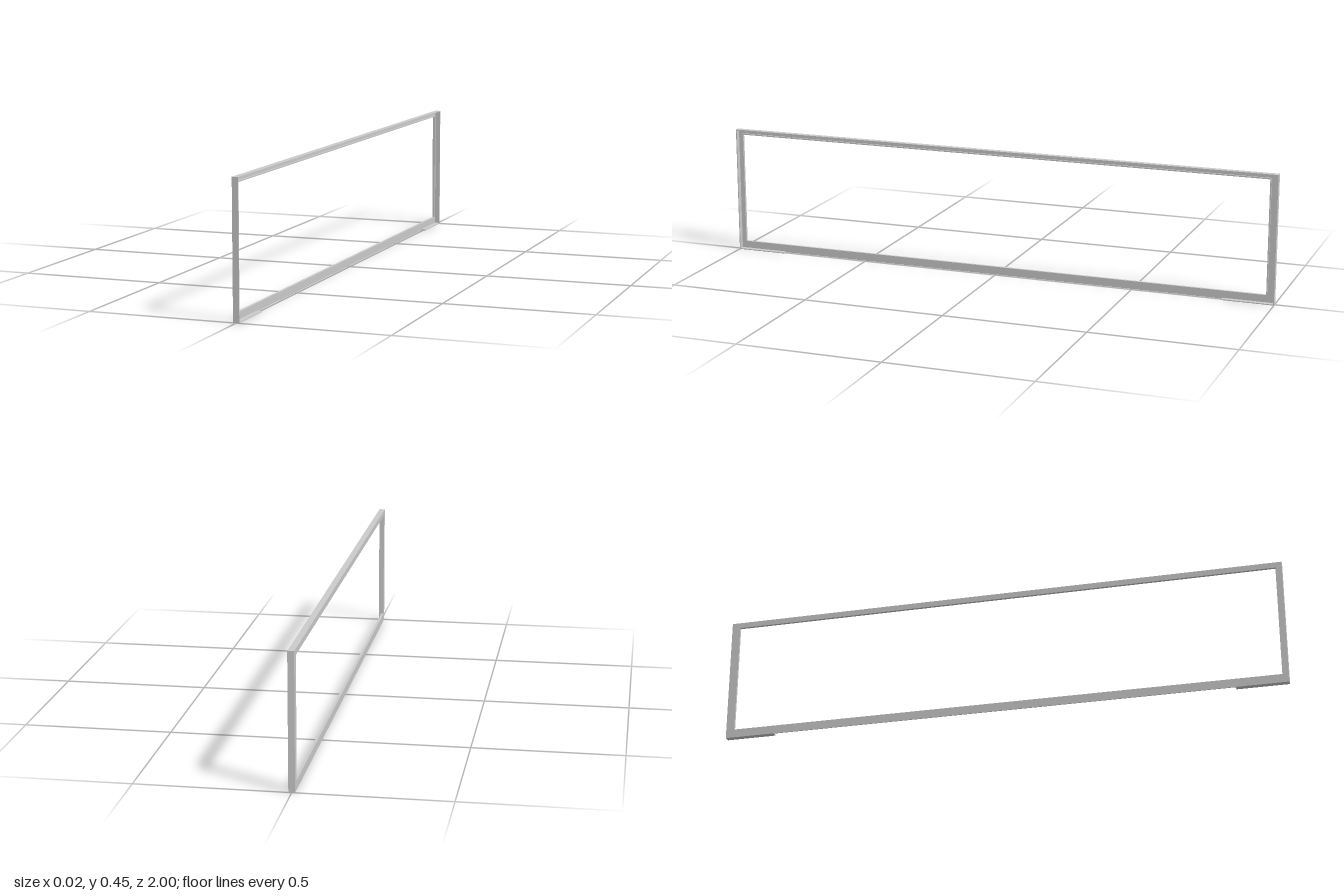
import * as THREE from 'three';

const H = 0.45, X0 = -0.0105, X1 = 0.0105, T = 0.003;
// opening in the face plate
const OPEN = { z0: -0.97, z1: 0.978, y0: 0.03, y1: 0.43 };

export function createModel() {
  const group = new THREE.Group();
  const material = new THREE.MeshStandardMaterial({ color: 0xcccccc, side: THREE.DoubleSide });

  // box given by its limits on each axis
  const slab = (name, [xa, xb], [ya, yb], [za, zb]) => {
    const mesh = new THREE.Mesh(new THREE.BoxGeometry(xb - xa, yb - ya, zb - za), material);
    mesh.position.set((xa + xb) / 2, (ya + yb) / 2, (za + zb) / 2);
    mesh.name = name;
    group.add(mesh);
  };

  // rectangular ring in the z-y plane, extruded along x
  const ring = (name, outer, inner, xStart, depth) => {
    const corners = ({ z0, z1, y0, y1 }) =>
      [[-z0, y0], [-z1, y0], [-z1, y1], [-z0, y1]].map(([a, b]) => new THREE.Vector2(a, b));
    const shape = new THREE.Shape(corners(outer));
    shape.holes.push(new THREE.Path(corners(inner)));
    const geometry = new THREE.ExtrudeGeometry(shape, { depth, bevelEnabled: false });
    geometry.rotateY(Math.PI / 2);
    geometry.translate(xStart, 0, 0);
    const mesh = new THREE.Mesh(geometry, material);
    mesh.name = name;
    group.add(mesh);
  };

  // flat face plate with the window opening
  ring('facePlate', { z0: -1, z1: 1, y0: 0, y1: H }, OPEN, X0, T);

  // small return lip around the opening
  const e = 0.004;
  ring('openingLip',
    { z0: OPEN.z0 - e, z1: OPEN.z1 + e, y0: OPEN.y0 - e, y1: OPEN.y1 + e },
    OPEN, X0 + T, 0.006);

  // outer flanges along the top and both ends
  const flangeX = [X0 + T, X1];
  slab('topFlange', flangeX, [H - T, H], [-1, 1]);
  for (const [side, za] of [['front', 1 - T], ['back', -1]]) {
    slab(side + 'Flange', flangeX, [0, H - T], [za, za + T]);
  }

  // short foot tabs at the bottom corners
  slab('frontFoot', flangeX, [0, T], [0.82, 1 - T]);
  slab('backFoot', flangeX, [0, T], [-1 + T, -0.82]);

  return group;
}
